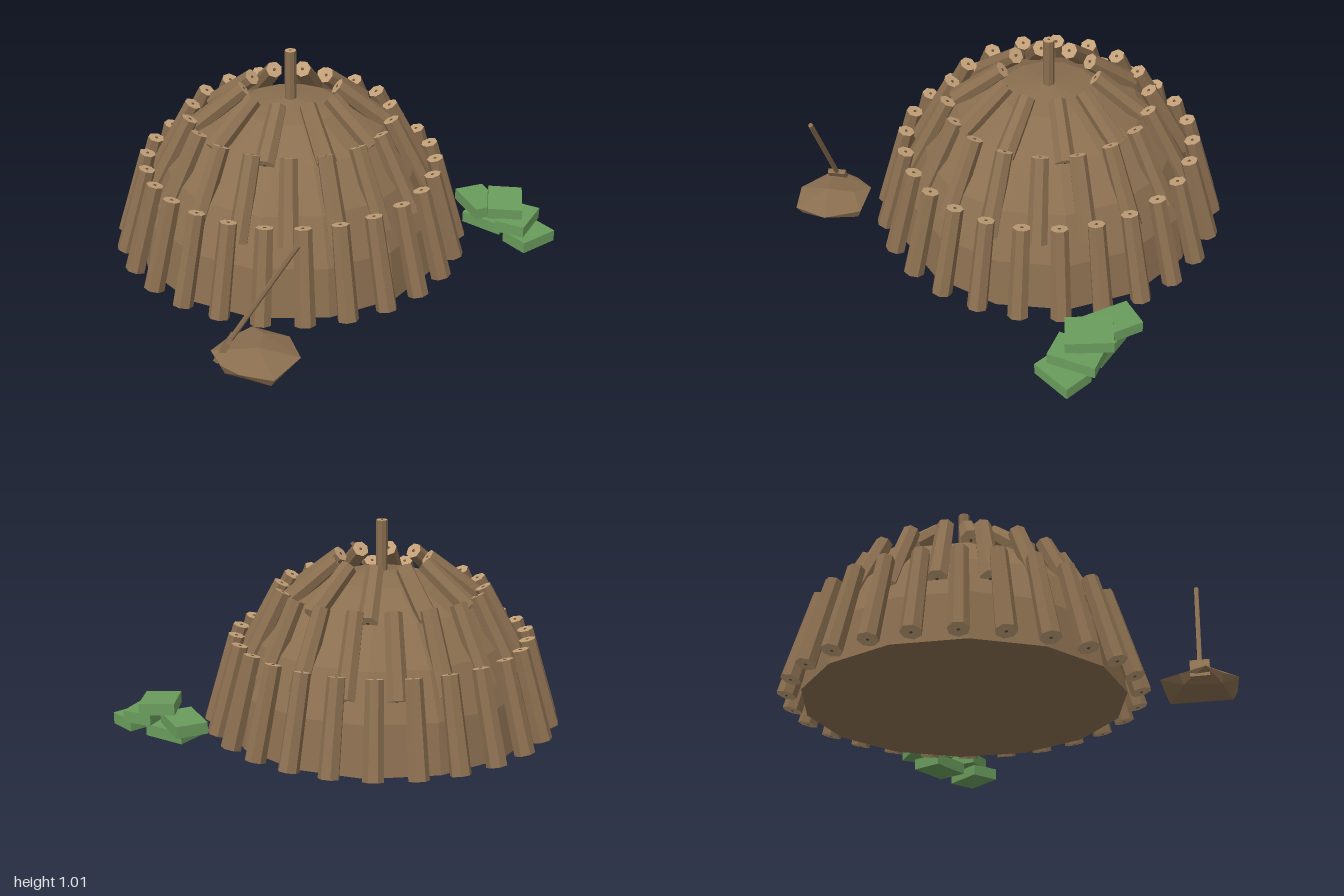
import * as THREE from 'three';
import { ConvexGeometry } from 'three/addons/geometries/ConvexGeometry.js';

function flat(name, color) {
  const m = new THREE.MeshStandardMaterial({ color, flatShading: true });
  m.name = name;
  return m;
}

export function createModel() {
  const wood = flat('brown wood', 0x8b6f50);
  const cutWood = flat('cut wood', 0xc2a078);
  const pith = flat('dark pith', 0x6b5238);
  const green = flat('green', 0x6a9c5c);

  const model = new THREE.Group();
  model.name = 'logLodge';
  const add = (parent, name, geometry, material, x = 0, y = 0, z = 0) => {
    const mesh = new THREE.Mesh(geometry, material);
    mesh.name = name;
    mesh.position.set(x, y, z);
    parent.add(mesh);
    return mesh;
  };

  // Earth-brown dome with a flat floor
  const lodge = new THREE.Group();
  lodge.name = 'lodge';
  lodge.position.set(-0.016, 0, -0.043);
  model.add(lodge);
  add(lodge, 'dome', new THREE.SphereGeometry(0.77, 14, 5, 0, Math.PI * 2, 0, Math.PI / 2), wood)
    .rotation.y = Math.PI / 2;
  const floor = add(lodge, 'domeFloor', new THREE.CircleGeometry(0.77, 14), wood);
  floor.rotation.set(Math.PI / 2, 0, Math.PI / 2);

  // Three tiers of leaning logs: [count, first angle, foot radius, foot y, top radius, top y]
  const tiers = [
    ['lowerLog', 26, 0, 0.832, 0.014, 0.71, 0.45],
    ['middleLog', 18, Math.PI / 18, 0.675, 0.33, 0.49, 0.69],
    ['upperLog', 10, 0, 0.46, 0.63, 0.225, 0.82],
  ];
  for (const [name, count, start, footR, footY, topR, topY] of tiers) {
    const length = Math.hypot(footR - topR, topY - footY);
    const logGeo = new THREE.CylinderGeometry(0.042, 0.05, length, 7, 1, false, Math.PI / 2 + Math.PI / 7);
    const pithGeo = new THREE.CylinderGeometry(0.008, 0.008, length + 0.004, 6);
    for (let i = 0; i < count; i++) {
      const spoke = new THREE.Group();
      spoke.name = name;
      spoke.rotation.y = start + (i / count) * Math.PI * 2;
      lodge.add(spoke);
      const log = add(spoke, name + 'Trunk', logGeo, [wood, cutWood, cutWood],
        (footR + topR) / 2, (footY + topY) / 2, 0);
      log.rotation.z = Math.atan2(footR - topR, topY - footY);
      add(log, name + 'Pith', pithGeo, pith);
    }
  }

  // Upright pole through the crown
  add(lodge, 'crownPole', new THREE.CylinderGeometry(0.028, 0.028, 0.28, 8), [wood, cutWood, cutWood], 0, 0.872, 0);
  add(lodge, 'crownPolePith', new THREE.CylinderGeometry(0.006, 0.006, 0.284, 6), pith, 0, 0.872, 0);

  // Faceted heap of earth
  const rim = [[-0.99, 0.68], [-0.97, 0.58], [-0.85, 0.535], [-0.72, 0.55],
    [-0.625, 0.7], [-0.7, 0.87], [-0.88, 0.91], [-0.98, 0.8]];
  const heap = [new THREE.Vector3(-0.83, 0.1, 0.74), new THREE.Vector3(-0.73, 0.082, 0.65)];
  rim.forEach(([x, z], i) => {
    heap.push(new THREE.Vector3(x, i % 2 ? 0.06 : 0.045, z));
    if (i % 2 === 0) heap.push(new THREE.Vector3(-0.82 + (x + 0.82) * 0.9, 0, 0.72 + (z - 0.72) * 0.85));
  });
  add(model, 'earthHeap', new ConvexGeometry(heap), wood);

  // Shovel leaning out of the heap: local y runs up the handle
  const shovel = new THREE.Group();
  shovel.name = 'shovel';
  const foot = new THREE.Vector3(-0.915, 0.06, 0.605);
  const tip = new THREE.Vector3(-0.715, 0.63, 0.87);
  const up = tip.clone().sub(foot);
  const length = up.length();
  up.normalize();
  const side = new THREE.Vector3(0.8, 0, -0.6);
  side.addScaledVector(up, -side.dot(up)).normalize();
  shovel.quaternion.setFromRotationMatrix(
    new THREE.Matrix4().makeBasis(side, up, new THREE.Vector3().crossVectors(side, up)));
  shovel.position.copy(foot);
  model.add(shovel);
  add(shovel, 'shovelHandle', new THREE.CylinderGeometry(0.012, 0.012, length, 6), wood, 0, length / 2, 0);
  add(shovel, 'shovelBlade', new THREE.BoxGeometry(0.09, 0.12, 0.025), wood, 0, 0.005, 0);

  // Stack of green blocks: [width, depth, x, y, z, turn, tilt]
  const blocks = [
    [0.21, 0.15, 0.866, 0.03, 0.765, -0.05, 0],
    [0.16, 0.22, 0.85, 0.03, 0.51, 0.2, 0],
    [0.155, 0.235, 0.853, 0.086, 0.43, -0.33, 0],
    [0.23, 0.15, 0.87, 0.085, 0.68, 0.38, 0],
    [0.22, 0.17, 0.865, 0.145, 0.595, 0.76, 0.06],
  ];
  for (const [w, d, x, y, z, turn, tilt] of blocks) {
    const block = add(model, 'greenBlock', new THREE.BoxGeometry(w, 0.058, d), green, x, y, z);
    block.rotation.set(0, turn, tilt);
  }

  return model;
}
